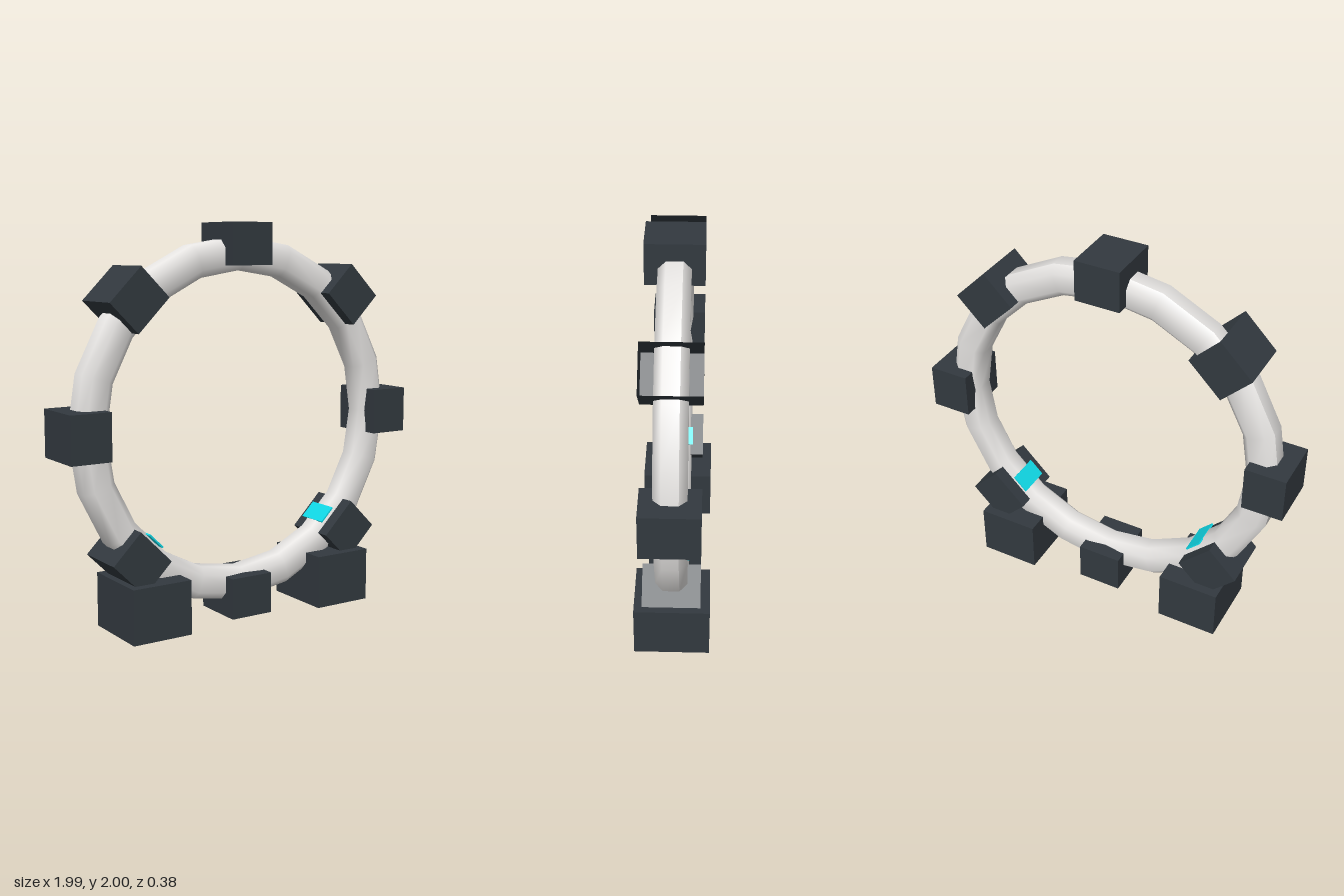
import * as THREE from 'three';

const CENTER_Y = 1.007;

export function createModel() {
  const model = new THREE.Group();
  model.name = 'ringGate';

  const stone = new THREE.MeshStandardMaterial({ color: 0xe6e4e2 });
  stone.name = 'pale grey';
  const metal = new THREE.MeshStandardMaterial({ color: 0x32393f, side: THREE.DoubleSide });
  metal.name = 'dark slate';
  const glow = new THREE.MeshStandardMaterial({ color: 0x10dcea });
  glow.name = 'cyan';

  const add = (name, geometry, material, parent = model) => {
    const mesh = new THREE.Mesh(geometry, material);
    mesh.name = name;
    parent.add(mesh);
    return mesh;
  };

  // Box that may leave one side open (0..5 = +x, -x, +y, -y, +z, -z)
  const openBox = (w, h, d, open) => {
    const geometry = new THREE.BoxGeometry(w, h, d);
    if (open !== undefined) {
      const index = Array.from(geometry.index.array);
      index.splice(open * 6, 6);
      geometry.setIndex(index);
      geometry.clearGroups();
    }
    return geometry;
  };

  // Ring: a chamfered square section swept around in coarse steps
  const section = [
    [0.083, -0.04], [0.083, 0.04], [0.045, 0.078], [-0.045, 0.078],
    [-0.083, 0.04], [-0.083, -0.04], [-0.045, -0.078], [0.045, -0.078], [0.083, -0.04],
  ].map(([r, z]) => new THREE.Vector2(0.843 + r, z));
  const ringGeometry = new THREE.LatheGeometry(section, 20, Math.PI / 2).rotateX(Math.PI / 2);
  add('ring', ringGeometry, stone).position.y = CENTER_Y;

  // Eight clamps around the ring; local x points outward
  const openSides = { 1: 0, 3: 3, 7: 0 };
  for (let i = 0; i < 8; i++) {
    const angle = i * Math.PI / 4;
    const clamp = new THREE.Group();
    clamp.name = 'clamp' + (i + 1);
    clamp.position.set(Math.cos(angle) * 0.888, CENTER_Y + Math.sin(angle) * 0.888, 0);
    clamp.rotation.z = angle;
    model.add(clamp);
    add('clampBlock', openBox(0.21, 0.235, 0.285, openSides[i]), metal, clamp);

    // Lights on the inner side of the two lower diagonal clamps
    if (i === 5 || i === 7) {
      const light = add('innerLight', new THREE.BoxGeometry(0.008, 0.1, 0.17), glow, clamp);
      light.position.set(-0.136, i === 5 ? 0.015 : -0.015, 0);
    }
    // Light inside the open lower clamp
    if (i === 7) {
      add('outerLight', new THREE.BoxGeometry(0.008, 0.11, 0.08), glow, clamp).position.set(0.043, -0.045, 0);
    }
  }

  // Two block feet
  for (const side of [-1, 1]) {
    const foot = add(side > 0 ? 'leftFoot' : 'rightFoot', new THREE.BoxGeometry(0.32, 0.275, 0.38), metal);
    foot.position.set(side * 0.548, 0.1375, 0);
  }

  return model;
}
